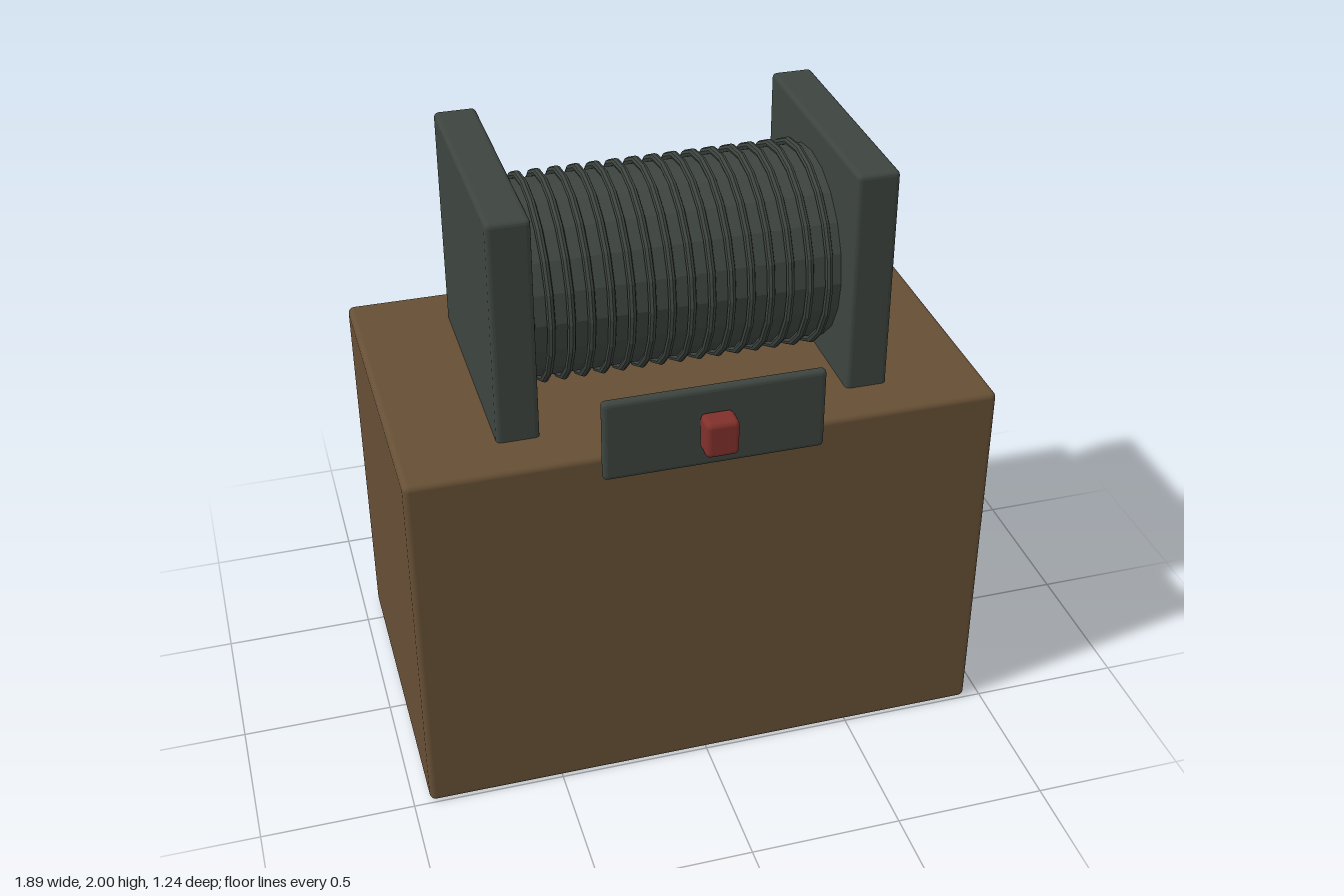
import * as THREE from 'three';
import { RoundedBoxGeometry } from 'three/addons/geometries/RoundedBoxGeometry.js';

const material = (name, color, flatShading = false) => {
  const m = new THREE.MeshStandardMaterial({ color });
  m.name = name;
  m.flatShading = flatShading;
  return m;
};

export function createModel() {
  const group = new THREE.Group();
  const wood = material('brown wood', 0x664f35);
  const metal = material('dark metal', 0x3d443f, true);
  const red = material('red button', 0x80302b);

  const add = (name, geometry, mat, x, y, z) => {
    const mesh = new THREE.Mesh(geometry, mat);
    mesh.name = name;
    mesh.position.set(x, y, z);
    group.add(mesh);
    return mesh;
  };
  // Rounded box given by its min and max corners
  const block = (name, mat, [x0, y0, z0], [x1, y1, z1], radius) =>
    add(name, new RoundedBoxGeometry(x1 - x0, y1 - y0, z1 - z0, 2, radius), mat,
      (x0 + x1) / 2, (y0 + y1) / 2, (z0 + z1) / 2);

  // Wooden base
  block('base', wood, [-0.945, 0, -0.62], [0.945, 1.26, 0.497], 0.02);

  // Square end plates holding the drum
  block('leftEndPlate', metal, [0.495, 1.195, -0.467], [0.63, 2, 0.34], 0.015);
  block('rightEndPlate', metal, [-0.63, 1.195, -0.467], [-0.495, 2, 0.34], 0.015);

  // Faceted drum lying along x
  const axisY = 1.59, axisZ = -0.064, sides = 20;
  const drum = new THREE.CylinderGeometry(0.312, 0.312, 1, sides).rotateZ(Math.PI / 2);
  add('drum', drum, metal, 0, axisY, axisZ);

  // Wire windings around the drum
  const winding = new THREE.TorusGeometry(0.322, 0.013, 8, sides).rotateY(Math.PI / 2);
  for (let i = 0; i < 16; i++) {
    add('winding', winding, metal, -0.493 + i * 0.063, axisY, axisZ);
  }

  // Control panel with its button
  block('controlPanel', metal, [-0.35, 1.2, 0.51], [0.35, 1.475, 0.543], 0.015);
  block('button', red, [-0.053, 1.275, 0.542], [0.053, 1.397, 0.622], 0.018);

  return group;
}
